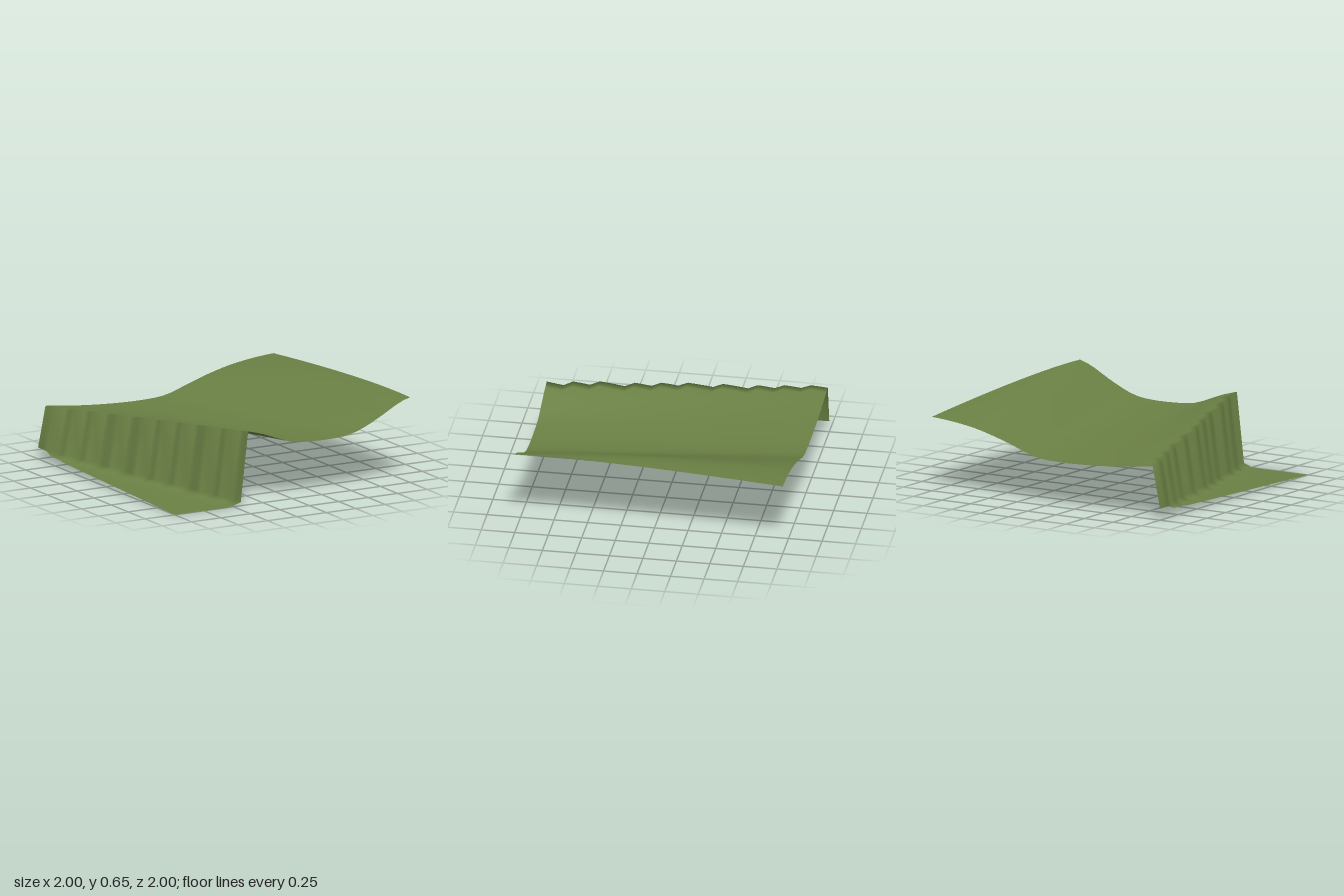
import * as THREE from 'three';

const N = 32; // grid cells per side
const STEP_ROWS = [3, 6, 9, 13, 17, 20, 23, 27, 30]; // rows where the cliff moves one cell to +x

// Upper slope from cliff rim to far side: [front x, front y, back x, back y, mid bulge]
const SLOPE = [
  [-0.375, 0.555, -0.94, 0.395, 0],
  [-0.25, 0.52, -0.8, 0.38, 0],
  [-0.12, 0.47, -0.62, 0.36, 0],
  [0, 0.43, -0.4, 0.345, 0],
  [0.2, 0.413, -0.15, 0.338, 0],
  [0.4, 0.415, 0.05, 0.347, 0],
  [0.5, 0.428, 0.15, 0.37, 0],
  [0.6, 0.46, 0.25, 0.405, 0.005],
  [0.75, 0.53, 0.44, 0.465, 0.02],
  [0.9, 0.61, 0.62, 0.51, 0.03],
  [1, 0.645, 0.8, 0.538, 0.025],
  [1.08, 0.663, 1, 0.555, 0.015],
  [1.3, 0.685, 1.2, 0.56, 0.01],
];

// Smooth cross-section of the upper slope at depth z
function slopeSection(z) {
  const t = (z + 1) / 2;
  const points = SLOPE.map(([fx, fy, bx, by, bulge]) => new THREE.Vector3(
    THREE.MathUtils.lerp(bx, fx, t),
    THREE.MathUtils.lerp(by, fy, t) + bulge * (1 - z * z), 0));
  return new THREE.CatmullRomCurve3(points).getPoints(240);
}

function heightAt(section, x) {
  let i = 1;
  while (i < section.length - 1 && section[i].x < x) i++;
  const a = section[i - 1], b = section[i];
  const f = THREE.MathUtils.clamp((x - a.x) / (b.x - a.x), 0, 1);
  return THREE.MathUtils.lerp(a.y, b.y, f);
}

function terrainGeometry() {
  const positions = [], index = [];
  for (let r = 0; r <= N; r++) {
    const z = -1 + (2 * r) / N;
    const section = slopeSection(z);
    const base = STEP_ROWS.filter((s) => r >= s).length; // column at the foot of the cliff
    for (let c = 0; c <= N; c++) {
      const x = -1 + (2 * c) / N;
      // Low ground rises slightly to the back and curls up at the cliff foot
      const curl = c === base ? 0.028 : c === base - 1 ? 0.006 : 0;
      const y = c > base ? heightAt(section, x) : 0.03 * (1 - z) + curl;
      positions.push(x, y, z);
    }
  }
  for (let r = 0; r < N; r++) {
    for (let c = 0; c < N; c++) {
      const a = r * (N + 1) + c, b = a + N + 1;
      index.push(a, b, b + 1, a, b + 1, a + 1);
    }
  }
  const geometry = new THREE.BufferGeometry();
  geometry.setAttribute('position', new THREE.Float32BufferAttribute(positions, 3));
  geometry.setIndex(index);
  geometry.computeVertexNormals();
  return geometry;
}

export function createModel() {
  const group = new THREE.Group();
  group.name = 'cliffTerrain';
  const grass = new THREE.MeshStandardMaterial({ color: 0x6a8044, side: THREE.DoubleSide });
  grass.name = 'grass green';
  const ground = new THREE.Mesh(terrainGeometry(), grass);
  ground.name = 'ground';
  group.add(ground);
  return group;
}
